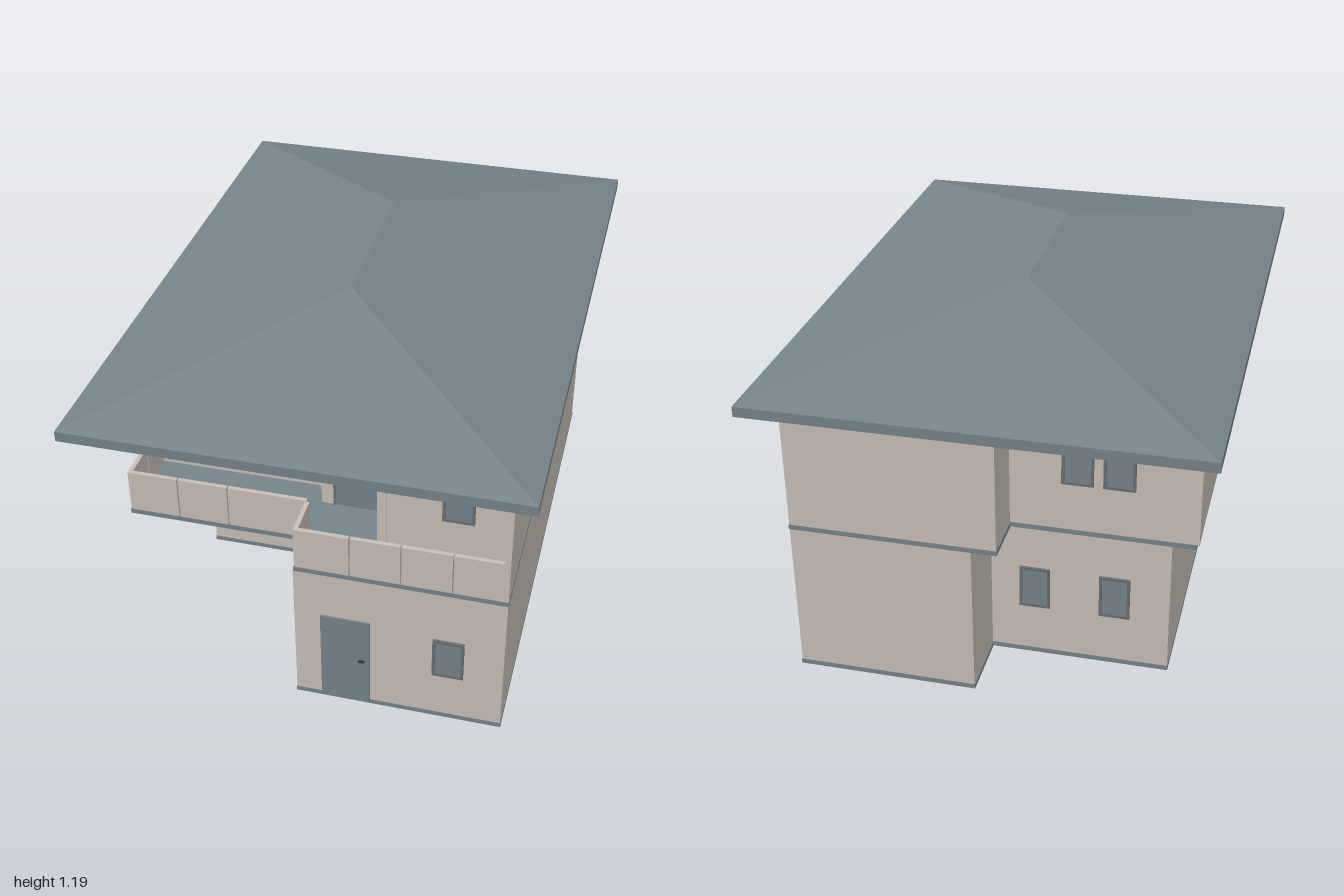
import * as THREE from 'three';

const mat = (name, color) => Object.assign(new THREE.MeshStandardMaterial({ color }), { name });

export function createModel() {
  const house = new THREE.Group();
  house.name = 'house';
  const wall = mat('plaster', 0xc8beb5);
  const slate = mat('slate', 0x75838b);
  const trim = mat('frame grey', 0x686e71);
  const dark = mat('handle dark', 0x33373a);

  const add = (name, geometry, material, parent = house) => {
    const mesh = new THREE.Mesh(geometry, material);
    mesh.name = name;
    parent.add(mesh);
    return mesh;
  };
  const box = (name, material, x0, x1, y0, y1, z0, z1, parent) => {
    const g = new THREE.BoxGeometry(x1 - x0, y1 - y0, z1 - z0);
    g.translate((x0 + x1) / 2, (y0 + y1) / 2, (z0 + z1) / 2);
    return add(name, g, material, parent);
  };
  // Vertical prism over an [x, z] floor plan
  const prism = (name, plan, y0, y1, material) => {
    const shape = new THREE.Shape(plan.map(([x, z]) => new THREE.Vector2(x, -z)));
    const g = new THREE.ExtrudeGeometry(shape, { depth: y1 - y0, bevelEnabled: false });
    g.rotateX(-Math.PI / 2).translate(0, y0, 0);
    return add(name, g, material);
  };

  // Ground floor
  const ground = (o) => [
    [0.63 + o, 0.88 + o], [0.63 + o, -0.86 - o], [0.045 - o, -0.86 - o], [0.045 - o, -0.63 - o],
    [-0.54 - o, -0.63 - o], [-0.54 - o, 0.235 + o], [-0.04 - o, 0.235 + o], [-0.04 - o, 0.88 + o],
  ];
  prism('plinth', ground(0.002), 0, 0.016, slate);
  prism('groundFloorWalls', ground(0), 0.016, 0.524, wall);

  // Floor slab, carrying the L-shaped balcony
  prism('floorSlab', [
    [0.632, 0.882], [0.632, -0.862], [-0.037, -0.862], [-0.037, -0.692],
    [-0.622, -0.692], [-0.622, 0.742], [-0.037, 0.742], [-0.037, 0.882],
  ], 0.522, 0.538, slate);

  // Upper floor, stepped back behind the balcony
  prism('upperFloorWalls', [
    [0.63, 0.745], [0.63, -0.86], [-0.035, -0.86], [-0.035, -0.69], [-0.63, -0.69],
    [-0.63, 0.48], [-0.035, 0.48], [-0.035, 0.56], [0.2, 0.56], [0.2, 0.745],
  ], 0.537, 0.986, wall);
  box('balconySideScreen', wall, 0.61, 0.63, 0.537, 0.986, 0.744, 0.88);
  box('wallPost', wall, 0.195, 0.225, 0.537, 0.986, 0.7, 0.75);

  // Balcony parapet, in panels with narrow joints
  const gap = 0.002, t = 0.014, low = 0.537, top = 0.685;
  const panelsX = (xs, z) => xs.slice(1).forEach((x, i) =>
    box('parapetPanel', wall, xs[i] + gap, x - gap, low, top, z - t, z));
  const panelsZ = (zs, x) => zs.slice(1).forEach((z, i) =>
    box('parapetPanel', wall, x, x + t, low, top, zs[i] + gap, z - gap));
  panelsX([-0.622, -0.455, -0.29, -0.03], 0.74);
  panelsX([-0.037, 0.14, 0.3, 0.46, 0.612], 0.88);
  panelsZ([0.48, 0.61, 0.726], -0.62);
  panelsZ([0.74, 0.868], -0.035);

  // Hip roof: eaves board and four slopes
  box('eaves', slate, -0.708, 0.708, 0.985, 1.018, -1, 1);
  const a = [-0.708, 1.018, 1], b = [0.708, 1.018, 1], c = [0.708, 1.018, -1], d = [-0.708, 1.018, -1];
  const f = [0, 1.194, 0.292], r = [0, 1.194, -0.292];
  const slopes = [a, b, f, b, c, r, b, r, f, c, d, r, d, a, f, d, f, r];
  const roof = new THREE.BufferGeometry();
  roof.setAttribute('position', new THREE.Float32BufferAttribute(slopes.flat(), 3));
  roof.computeVertexNormals();
  add('hipRoof', roof, slate);

  // Openings are built facing +z around their centre, then turned onto a wall
  const place = (name, x, y, z, turn) => {
    const g = new THREE.Group();
    g.name = name;
    g.position.set(x, y, z);
    g.rotation.y = turn;
    house.add(g);
    return g;
  };
  const frame = (g, w, h, bar, sill) => {
    box('frameLeft', trim, -w, -w + bar, -h, h, 0, 0.008, g);
    box('frameRight', trim, w - bar, w, -h, h, 0, 0.008, g);
    box('frameTop', trim, -w + bar, w - bar, h - bar, h, 0, 0.008, g);
    if (sill) box('frameBottom', trim, -w + bar, w - bar, -h, -h + bar, 0, 0.008, g);
  };
  const FRONT = 0, BACK = Math.PI, LEFT = -Math.PI / 2;
  const lowY = 0.26, highY = 0.778;
  [
    [0.455, lowY, 0.88, FRONT], [0.447, highY, 0.745, FRONT], [-0.355, highY, 0.48, FRONT],
    [-0.1, lowY, -0.63, BACK], [-0.362, lowY, -0.63, BACK],
    [-0.25, highY, -0.69, BACK], [-0.38, highY, -0.69, BACK],
    [-0.54, lowY, 0.095, LEFT],
    [-0.63, highY, -0.355, LEFT], [-0.63, highY, 0, LEFT], [-0.63, highY, 0.305, LEFT],
  ].forEach(([x, y, z, turn]) => {
    const g = place('window', x, y, z, turn);
    box('pane', slate, -0.045, 0.045, -0.07, 0.07, 0, 0.003, g);
    frame(g, 0.05, 0.075, 0.009, true);
  });

  // Doors
  const frontDoor = place('frontDoor', 0.125, 0.18, 0.88, FRONT);
  box('doorLeaf', slate, -0.08, 0.08, -0.175, 0.175, 0, 0.006, frontDoor);
  box('doorHandle', dark, 0.043, 0.063, 0.007, 0.012, 0.006, 0.014, frontDoor);
  const balconyDoor = place('balconyDoor', 0.083, 0.705, 0.56, FRONT);
  box('doorLeaf', slate, -0.072, 0.072, -0.165, 0.16, 0, 0.004, balconyDoor);
  frame(balconyDoor, 0.077, 0.165, 0.006, false);
  box('doorHandle', dark, -0.068, -0.048, 0, 0.005, 0.004, 0.012, balconyDoor);

  return house;
}
